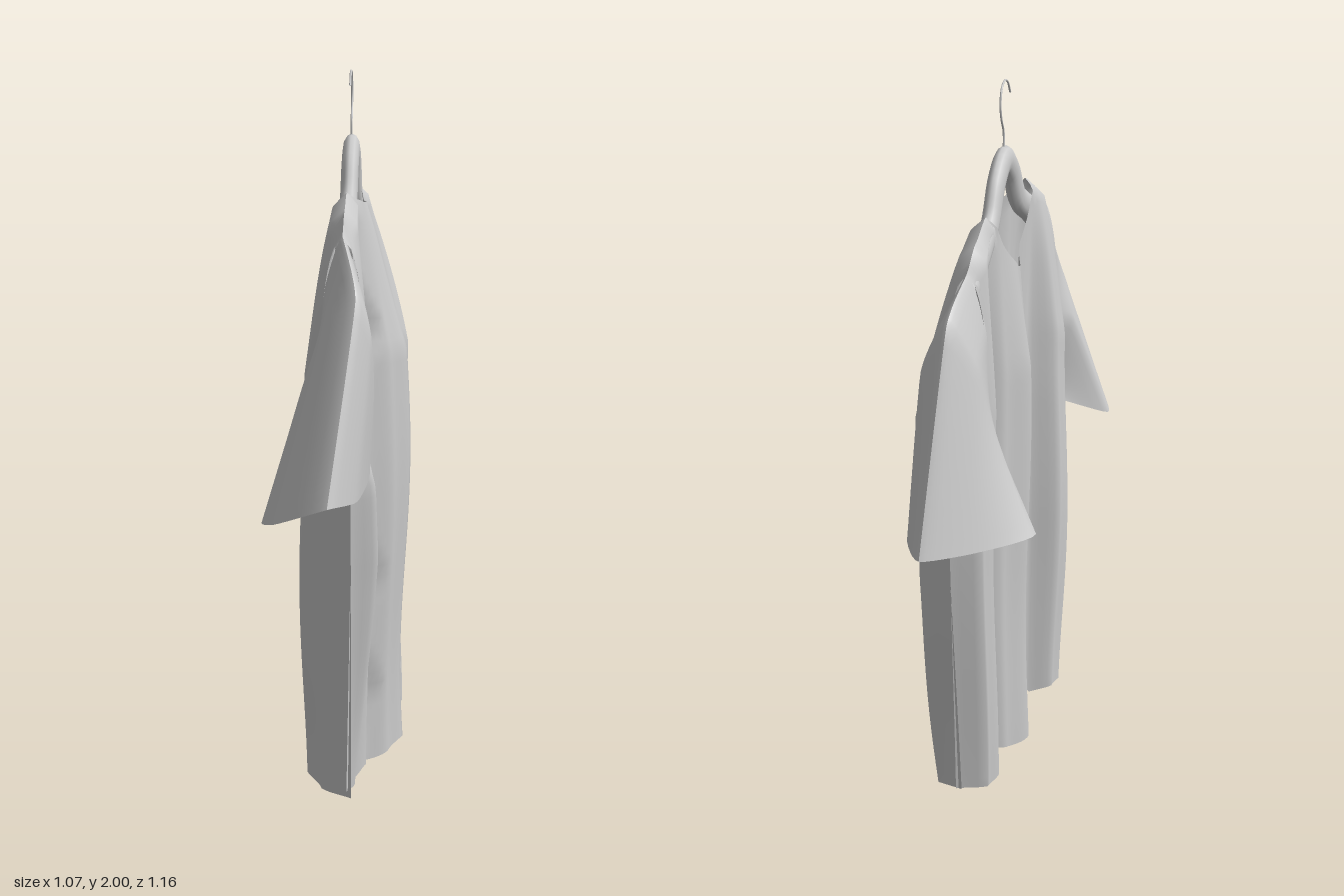
import * as THREE from 'three';

const fabric = new THREE.MeshStandardMaterial({ color: 0xcccccc, side: THREE.DoubleSide });
const V = (x, y, z = 0) => new THREE.Vector3(x, y, z);
const clamp = (v) => Math.min(1, Math.max(0, v));

// partly eased interpolation through a short list of [x, value] pairs
function interp(pts, x) {
  if (x <= pts[0][0]) return pts[0][1];
  for (let i = 1; i < pts.length; i++) {
    const [x0, a] = pts[i - 1], [x1, b] = pts[i];
    if (x <= x1) {
      const t = (x - x0) / (x1 - x0);
      return a + (b - a) * (0.5 * t + 0.5 * t * t * (3 - 2 * t));
    }
  }
  return pts[pts.length - 1][1];
}

// smooth sheet from rows of points
function sheet(name, rows, flip) {
  const n = rows[0].length, idx = [];
  for (let r = 0; r < rows.length - 1; r++) {
    for (let c = 0; c < n - 1; c++) {
      const a = r * n + c, b = a + 1, d = a + n, e = d + 1;
      if (flip) idx.push(a, d, b, b, d, e);
      else idx.push(a, b, d, b, e, d);
    }
  }
  const geo = new THREE.BufferGeometry().setFromPoints(rows.flat());
  geo.setIndex(idx);
  geo.computeVertexNormals();
  const mesh = new THREE.Mesh(geo, fabric);
  mesh.name = name;
  return mesh;
}

// drape folds across the width, and the half widths by height
const frontFolds = [[-0.43, -0.05], [-0.4, 0.035], [-0.35, 0.055], [-0.25, -0.03], [-0.19, 0.04], [-0.1, 0.09],
  [-0.03, 0.07], [0.1, 0], [0.2, 0.02], [0.25, 0.105], [0.3, 0.12], [0.38, 0.07], [0.43, -0.02]];
const backFolds = [[-0.43, -0.05], [-0.41, -0.155], [-0.33, -0.15], [-0.24, -0.127], [-0.2, -0.065], [-0.1, -0.05],
  [-0.04, -0.085], [0.02, -0.16], [0.1, -0.12], [0.18, -0.045], [0.28, -0.06], [0.39, -0.09], [0.43, -0.02]];
const leftWidth = [[0, 0.365], [0.6, 0.39], [1, 0.405], [1.4, 0.43]];
const rightWidth = [[0, 0.415], [0.8, 0.445], [1.1, 0.43]];
// diamond hollows in the back cloth: [across, height, half width, half height, depth]
const dents = [[0.18, 1.28, 0.075, 0.16, 0.035], [0.18, 0.56, 0.07, 0.18, 0.03],
  [-0.13, 1.2, 0.06, 0.3, 0.03], [0.17, 0.22, 0.06, 0.16, 0.025]];

// front or back panel of the shirt body
function panel(front) {
  const rows = [], cols = 86, levels = 50, side = front ? 1 : -1;
  for (let r = 0; r <= levels; r++) {
    const row = [];
    for (let c = 0; c <= cols; c++) {
      const s = -0.43 + (0.86 * c) / cols, a = Math.abs(s);
      const shoulder = interp([[0.23, 1.675], [0.34, 1.63], [0.43, 1.575]], a);
      const dip = a < 0.23 ? 1 - (a / 0.23) ** 2 : 0;
      const top = shoulder - dip * (front ? 0.19 : 0.04);
      const hem = 0.035 + 0.015 * Math.sin(s * 22 + 1.4) - (front && s > 0.2 ? 0.02 : 0);
      const y = hem + (top - hem) * (r / levels);
      const fade = clamp((shoulder - y) / 0.45) ** 0.8;
      let w = interp(front ? frontFolds : backFolds, s) * fade;
      if (a < 0.42) w *= 1 - 0.08 * Math.sin(y * 5 + s * 6);
      // the outer back folds flatten toward the hem
      if (!front) w *= 1 - (s > 0 ? 0.7 : 0.35) * clamp((a - 0.28) / 0.08) * clamp(1 - y / 0.7);
      w += side * 0.027 * clamp((0.43 - a) * 12) * (1 - fade) * clamp((shoulder - y) / 0.03);
      if (!front) for (const [u, v, du, dv, depth] of dents)
        w += depth * clamp(1.8 * (1 - Math.abs(s - u) / du - Math.abs(y - v) / dv));
      // open the side seam into an armhole
      const t = clamp((y - 1.03) / 0.545);
      const blend = clamp(s > 0 ? (a - 0.32) / 0.1 : (a - 0.39) / 0.035) * clamp((y - 0.9) / 0.2);
      w += (side * 0.055 * Math.sqrt(Math.max(0, Math.sin(Math.PI * t))) - w) * blend;
      row.push(V((s * interp(s > 0 ? leftWidth : rightWidth, y)) / 0.43, y, w));
    }
    rows.push(row);
  }
  return sheet(front ? 'shirtFront' : 'shirtBack', rows, !front);
}

// sleeve lofted from the armhole through closed rings of six points
function sleeve(name, m, rings) {
  const width = m > 0 ? leftWidth : rightWidth;
  const armhole = [[1.577, 0], [1.42, 0.05], [1.19, 0.05], [1.03, 0], [1.19, -0.05], [1.42, -0.05]]
    .map(([y, w]) => [m * (interp(width, y) - 0.008), y, w]);
  const loops = [armhole, ...rings].map((ring) =>
    new THREE.CatmullRomCurve3(ring.map((p) => V(...p)), true, 'catmullrom', 0.3).getPoints(36));
  const rails = loops[0].map((_, i) =>
    new THREE.CatmullRomCurve3(loops.map((l) => l[i]), false, 'catmullrom', 0.2).getPoints(14));
  const rows = [];
  for (let r = 0; r <= 14; r++) rows.push(rails.map((rail) => rail[r]));
  return sheet(name, rows, m < 0);
}

function tube(name, pts, radius, sides, flat = 1) {
  const geo = new THREE.TubeGeometry(new THREE.CatmullRomCurve3(pts), 40, radius, sides);
  geo.scale(1, 1, flat);
  const mesh = new THREE.Mesh(geo, fabric);
  mesh.name = name;
  return mesh;
}

export function createModel() {
  const model = new THREE.Group();
  model.name = 'shirtOnHanger';
  const shirt = new THREE.Group();
  shirt.name = 'shirt';
  shirt.add(panel(true), panel(false));

  // sleeves: upper arm ring, then cuff ring
  shirt.add(sleeve('leftSleeve', 1, [
    [[0.55, 1.425, -0.04], [0.52, 1.33, 0.05], [0.47, 1.17, 0.1], [0.43, 1, 0.01], [0.46, 1.13, -0.08], [0.53, 1.32, -0.08]],
    [[0.755, 0.935, 0.02], [0.66, 0.87, 0.16], [0.55, 0.85, 0.2], [0.43, 0.93, 0.05], [0.42, 0.95, -0.07], [0.65, 0.93, -0.05]],
  ]));
  shirt.add(sleeve('rightSleeve', -1, [
    [[-0.59, 1.485, -0.01], [-0.55, 1.35, 0.06], [-0.48, 1.15, 0.09], [-0.44, 1.02, 0.02], [-0.5, 1.17, -0.08], [-0.55, 1.35, -0.09]],
    [[-0.785, 0.93, -0.035], [-0.68, 0.92, 0.09], [-0.537, 0.92, 0.21], [-0.41, 0.96, 0.06], [-0.55, 0.93, -0.1], [-0.67, 0.93, -0.1]],
  ]));

  // hanger: curved wooden bar and wire hook
  const hanger = new THREE.Group();
  hanger.name = 'hanger';
  hanger.add(tube('hangerBar', [V(-0.39, 1.52), V(-0.28, 1.58), V(-0.18, 1.645), V(-0.11, 1.74), V(-0.03, 1.783),
    V(0.05, 1.74), V(0.13, 1.645), V(0.26, 1.58), V(0.37, 1.52)], 0.04, 12, 0.6));
  hanger.add(tube('hangerHook', [V(-0.03, 1.8), V(-0.03, 1.86), V(-0.055, 1.9), V(-0.065, 1.94), V(-0.05, 1.98),
    V(-0.015, 1.996), V(0.02, 1.985), V(0.045, 1.955)], 0.003, 6));

  // the whole garment hangs diagonally
  const garment = new THREE.Group();
  garment.name = 'garment';
  garment.add(shirt, hanger);
  garment.rotation.y = -Math.PI / 4;
  model.add(garment);
  return model;
}
